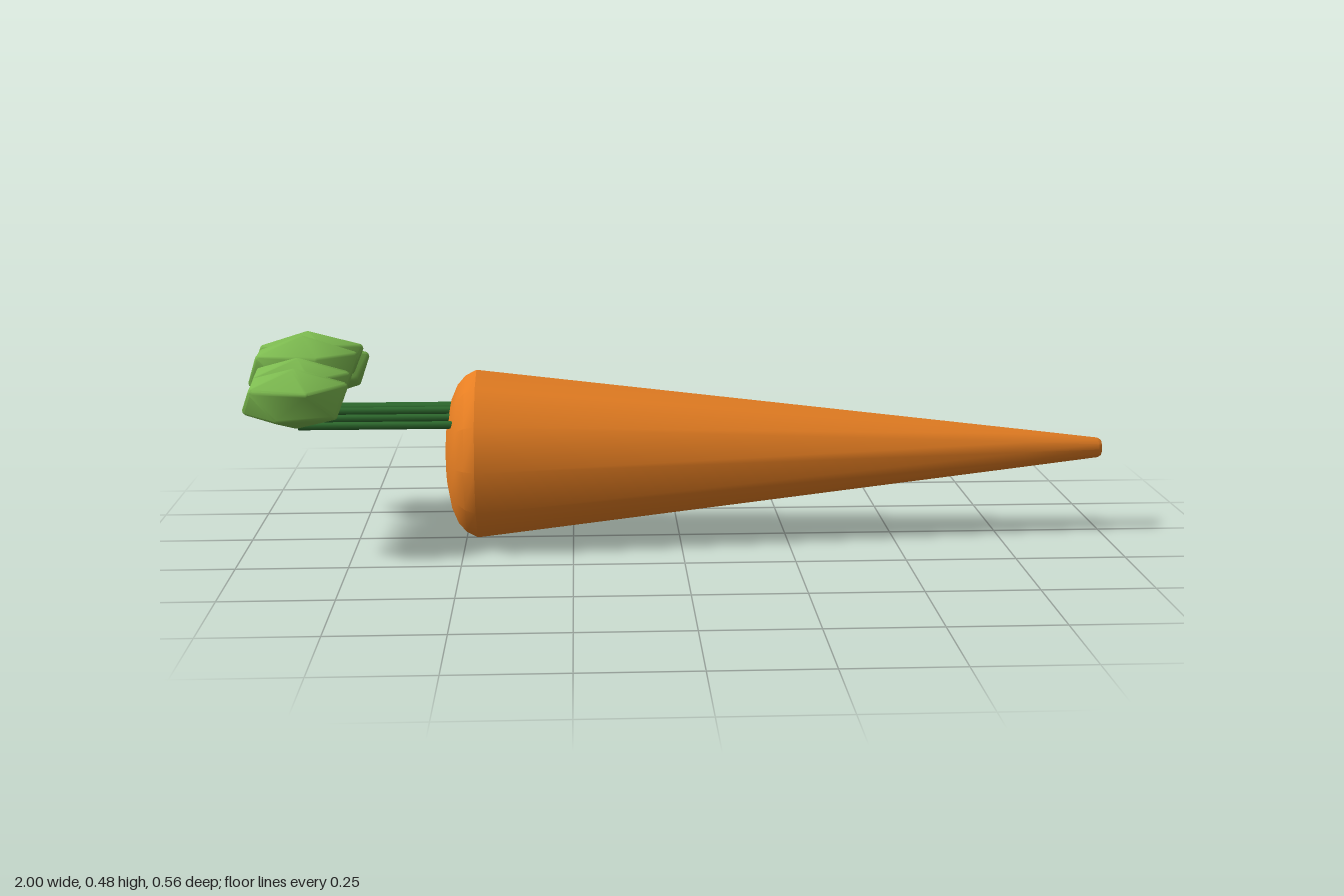
import * as THREE from 'three';
import { toCreasedNormals } from 'three/addons/utils/BufferGeometryUtils.js';
import { ConvexGeometry } from 'three/addons/geometries/ConvexGeometry.js';

const material = (name, color) => {
  const m = new THREE.MeshStandardMaterial({ color });
  m.name = name;
  return m;
};

// Faceted nugget: a stretched icosahedron, pole up, with every corner rounded off
function leafGeometry(sx, sy, sz) {
  const corners = [new THREE.Vector3(0, sy, 0), new THREE.Vector3(0, -sy, 0)];
  for (let i = 0; i < 5; i++) {
    const a = (i / 5) * Math.PI * 2;
    const c = Math.cos(a) * 0.894, s = Math.sin(a) * 0.894;
    corners.push(new THREE.Vector3(c * sx, 0.447 * sy, s * sz));
    corners.push(new THREE.Vector3(-c * sx, -0.447 * sy, -s * sz));
  }
  const bead = new THREE.IcosahedronGeometry(0.012, 1).getAttribute('position');
  const points = [];
  for (const corner of corners) {
    for (let i = 0; i < bead.count; i++) {
      points.push(new THREE.Vector3().fromBufferAttribute(bead, i).add(corner));
    }
  }
  return toCreasedNormals(new ConvexGeometry(points), 0.65);
}

export function createModel() {
  const model = new THREE.Group();
  const orange = material('root orange', 0xe67e22);
  const stemGreen = material('stem green', 0x2e6b2e);
  const leafGreen = material('leaf green', 0x7dbb50);

  // Tapered twelve-sided root with a domed shoulder
  const profile = [
    [0, -0.545], [0.07, -0.541], [0.13, -0.529], [0.165, -0.514], [0.187, -0.495],
    [0.2, -0.47], [0.046, 0.81], [0.024, 0.99], [0.019, 0.998], [0, 1],
  ].map(([r, x]) => new THREE.Vector2(r, x));
  const rootGeometry = toCreasedNormals(new THREE.LatheGeometry(profile, 12), 0.55);
  rootGeometry.rotateZ(-Math.PI / 2);
  const root = new THREE.Mesh(rootGeometry, orange);
  root.name = 'root';
  root.position.y = 0.2;
  model.add(root);

  // Thin parallel stems
  const stemGeometry = new THREE.CylinderGeometry(0.009, 0.009, 0.37, 8).rotateZ(Math.PI / 2);
  [[0.29, 0.095], [0.298, 0.05], [0.305, 0], [0.302, -0.053], [0.297, -0.1]].forEach(([y, z], i) => {
    const stem = new THREE.Mesh(stemGeometry, stemGreen);
    stem.name = 'stem' + (i + 1);
    stem.position.set(-0.685, y, z);
    model.add(stem);
  });

  // Leaf clumps fanned in an arc: x, y, z, half sizes, tilt
  [
    [-0.86, 0.375, 0.203, 0.118, 0.058, 0.068, 0.15],
    [-0.865, 0.383, 0.105, 0.118, 0.057, 0.055, 0.15],
    [-0.867, 0.405, 0.004, 0.128, 0.068, 0.058, 0.05],
    [-0.87, 0.409, -0.108, 0.132, 0.055, 0.056, -0.15],
    [-0.866, 0.37, -0.21, 0.13, 0.062, 0.064, -0.3],
  ].forEach(([x, y, z, sx, sy, sz, tilt], i) => {
    const leaf = new THREE.Mesh(leafGeometry(sx, sy, sz), leafGreen);
    leaf.name = 'leaf' + (i + 1);
    leaf.position.set(x, y, z);
    leaf.rotation.x = tilt;
    model.add(leaf);
  });

  return model;
}
